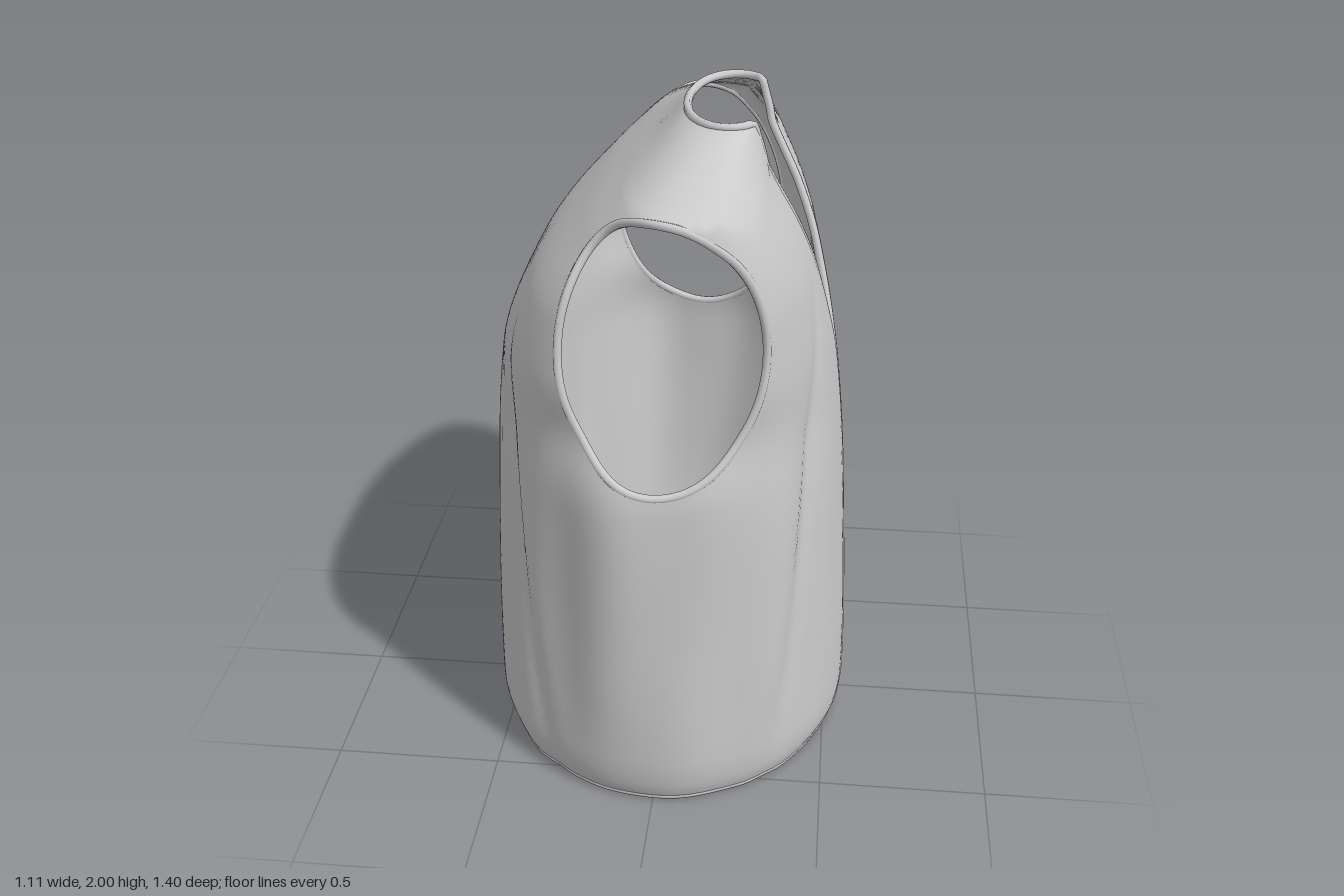
import * as THREE from 'three';

// Monotone cubic through [y, value] pairs
function profile(pts) {
  const d = pts.slice(1).map((p, i) => (p[1] - pts[i][1]) / (p[0] - pts[i][0]));
  const m = pts.map((p, i) => {
    if (i === 0) return d[0];
    if (i === pts.length - 1) return d[i - 1];
    return d[i - 1] * d[i] > 0 ? 2 * d[i - 1] * d[i] / (d[i - 1] + d[i]) : 0;
  });
  return y => {
    let i = 0;
    while (i < pts.length - 2 && y > pts[i + 1][0]) i++;
    const h = pts[i + 1][0] - pts[i][0];
    const t = Math.min(1, Math.max(0, (y - pts[i][0]) / h)), t2 = t * t, t3 = t2 * t;
    return pts[i][1] * (2 * t3 - 3 * t2 + 1) + pts[i + 1][1] * (3 * t2 - 2 * t3)
      + h * (m[i] * (t3 - 2 * t2 + t) + m[i + 1] * (t3 - t2));
  };
}

// Garment outline by height: back x, front x, half width, squareness, half gap of the opening
const backX = profile([[0, -0.515], [0.03, -0.535], [0.12, -0.547], [1, -0.517], [1.3, -0.483], [1.55, -0.385],
  [1.75, -0.215], [1.85, -0.105], [1.92, -0.025], [2, 0.055]]);
const frontX = profile([[0, 0.515], [0.03, 0.535], [0.12, 0.545], [0.8, 0.518], [1.2, 0.482], [1.55, 0.41],
  [1.7, 0.355], [1.8, 0.305], [1.88, 0.27], [1.95, 0.265], [2, 0.3]]);
const halfZ = profile([[0, 0.605], [0.03, 0.625], [0.15, 0.648], [0.6, 0.668], [1.06, 0.684], [1.3, 0.67],
  [1.7, 0.652], [1.845, 0.632], [1.87, 0.57], [1.925, 0.415], [2, 0.222]]);
const square = profile([[0, 2], [1.08, 2.05], [1.4, 2.5], [1.7, 2.9], [1.88, 2.8], [2, 2]]);
const gap = profile([[0, 0.17], [0.025, 0.11], [0.08, 0.055], [0.2, 0.022], [1.25, 0.022], [1.4, 0.066],
  [1.6, 0.125], [1.8, 0.18], [2, 0.217]]);

const LOW = 0.013, HIGH = 1.987, HOLE = { x: 0.028, y: 1.463, rx: 0.277, ry: 0.384 };
const gauss = (v, w) => Math.exp(-((v / w) ** 2));
const { smoothstep } = THREE.MathUtils;

// Cloth folds: soft drapes, a crease at the back and front of each side, a dip round the lower armhole
function fold(a, y) {
  const hem = Math.sin(a) * (0.35 + 0.65 * smoothstep(y, 0, 0.4));
  const drape = (0.013 * Math.sin(9 * a + 1.3 * y) + 0.009 * Math.sin(15 * a - 1.8 * y + 1)) * (1 - smoothstep(y, 0.9, 1.5));
  const crease = (0.04 * gauss(a - 1.02 + 0.25 * y, 0.07) + 0.04 * gauss(a - 2.15 - 0.3 * y, 0.07)
    + 0.035 * gauss(a - 0.62, 0.25) + 0.035 * gauss(a - 2.52, 0.25)) * (1 - smoothstep(y, 1.1, 1.7));
  return hem * (drape - crease) - 0.05 * gauss(a - 1.6, 0.45) * gauss(y - 1.22, 0.1);
}

// Point on the +z half: a runs from centre back (0) round to the front
function surface(a, y) {
  const xb = backX(y), xf = frontX(y), n = square(y);
  const c = Math.cos(a), s = Math.sin(a);
  const r = (Math.abs(c / ((xf - xb) / 2)) ** n + Math.abs(s / halfZ(y)) ** n) ** (-1 / n) * (1 + fold(a, y));
  return new THREE.Vector3((xb + xf) / 2 - r * c, y, r * s);
}

// Angle of the front edge, set by the opening
function frontAngle(y) {
  const n = square(y), dx = (frontX(y) - backX(y)) / 2 * (1 - (gap(y) / halfZ(y)) ** n) ** (1 / n);
  return Math.atan2(gap(y), -dx);
}

// Angle and height of a point on the armhole oval
function armhole(t) {
  const y = HOLE.y + HOLE.ry * Math.sin(t), x = HOLE.x + HOLE.rx * Math.cos(t);
  const xb = backX(y), xf = frontX(y), n = square(y), dx = x - (xb + xf) / 2;
  const z = halfZ(y) * Math.max(0, 1 - Math.abs(dx / ((xf - xb) / 2)) ** n) ** (1 / n);
  return [Math.atan2(z, -dx), y];
}

// Panel border: hem, front edge with neckline, top, centre back
function border() {
  const out = [], H = 48, F = 64, T = 28;
  const level = v => LOW + (HIGH - LOW) * v ** 1.3;
  for (let i = 0; i < H; i++) out.push([frontAngle(LOW) * i / H, LOW]);
  for (let i = 0; i < F; i++) out.push([frontAngle(level(i / F)), level(i / F)]);
  for (let i = 0; i < T; i++) out.push([frontAngle(HIGH) * (1 - i / T), HIGH]);
  for (let i = 0; i < F; i++) out.push([0, level(1 - i / F)]);
  return { out, open: H + F + T };
}

function flip(geo) {
  const ix = geo.index.array;
  for (let i = 0; i < ix.length; i += 3) [ix[i + 1], ix[i + 2]] = [ix[i + 2], ix[i + 1]];
  return geo;
}

function mirrorZ(geo) {
  const g = geo.clone();
  for (const k of ['position', 'normal']) {
    const at = g.attributes[k];
    for (let i = 0; i < at.count; i++) at.setZ(i, -at.getZ(i));
  }
  return flip(g);
}

// Moves a cloth layer along its normals
function layer(geo, dist) {
  const g = geo.clone(), p = g.attributes.position, n = g.attributes.normal;
  for (let i = 0; i < p.count; i++) {
    p.setXYZ(i, p.getX(i) + n.getX(i) * dist, p.getY(i), p.getZ(i) + n.getZ(i) * dist);
    if (dist < 0) n.setXYZ(i, -n.getX(i), -n.getY(i), -n.getZ(i));
  }
  return dist < 0 ? flip(g) : g;
}

export function createModel() {
  const group = new THREE.Group();
  const cloth = new THREE.MeshStandardMaterial({ color: 0xcccccc, side: THREE.DoubleSide });
  const { out, open } = border();
  const M = out.length, N = 40, pos = [], idx = [], rim = [];

  // Half panel: rings spreading from the armhole to the border
  out.forEach(([a, y], j) => {
    const t = Math.atan2((y - HOLE.y) / HOLE.ry, (a - 1.62) / 0.42);
    const [ia, iy] = armhole(t);
    rim.push(surface(ia, iy));
    for (let i = 0; i <= N; i++) {
      const k = i / N, p = surface(ia + (a - ia) * k, iy + (y - iy) * k);
      pos.push(p.x, p.y, p.z);
      if (i < N) {
        const p0 = j * (N + 1) + i, q0 = ((j + 1) % M) * (N + 1) + i;
        idx.push(p0, p0 + 1, q0 + 1, p0, q0 + 1, q0);
      }
    }
  });
  const panel = new THREE.BufferGeometry();
  panel.setAttribute('position', new THREE.Float32BufferAttribute(pos, 3));
  panel.setIndex(idx);
  panel.computeVertexNormals();

  // Smooth join along the centre back
  const nor = panel.attributes.normal, v = new THREE.Vector3();
  out.forEach(([a], j) => {
    if (a > 0) return;
    const k = j * (N + 1) + N;
    v.fromBufferAttribute(nor, k).setZ(0).normalize();
    nor.setXYZ(k, v.x, v.y, v.z);
  });

  // Rolled edges
  const edgePts = out.slice(0, open + 1).map(([a, y]) => surface(a, y));
  const edge = new THREE.TubeGeometry(new THREE.CatmullRomCurve3(edgePts), 260, 0.0125, 8);
  const armEdge = new THREE.TubeGeometry(new THREE.CatmullRomCurve3(rim, true), 140, 0.0125, 8, true);

  const parts = {
    OuterPanel: layer(panel, 0.01), Lining: layer(panel, -0.01), BorderEdge: edge, ArmholeEdge: armEdge,
  };
  for (const [name, geo] of Object.entries(parts)) {
    for (const side of ['left', 'right']) {
      const mesh = new THREE.Mesh(side === 'left' ? geo : mirrorZ(geo), cloth);
      mesh.name = side + name;
      group.add(mesh);
    }
  }
  group.name = 'vest';
  return group;
}
